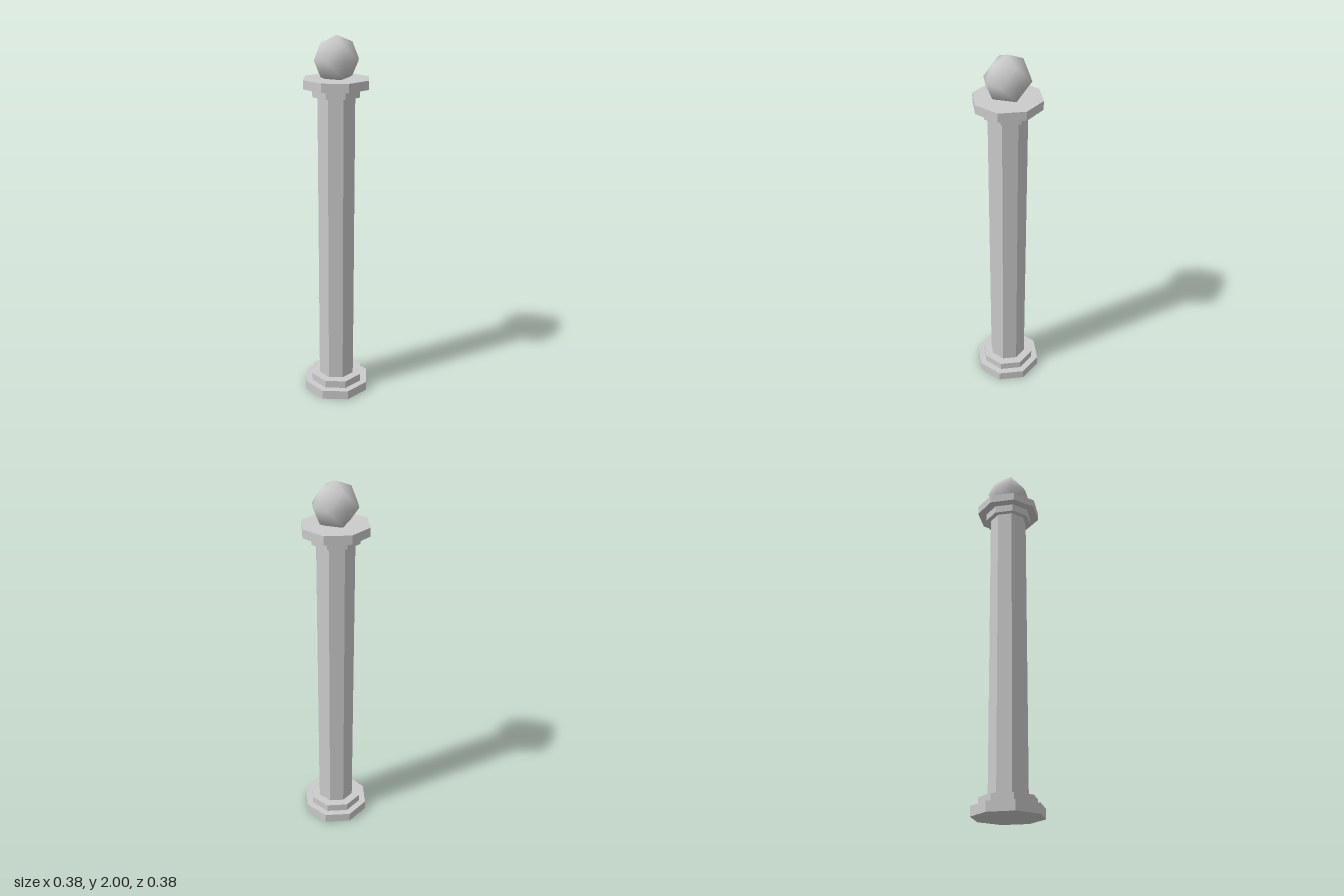
import * as THREE from 'three';

export function createModel() {
  const group = new THREE.Group();
  group.name = 'column';
  const flat = new THREE.MeshStandardMaterial({ color: 0xcccccc, flatShading: true });
  const smooth = new THREE.MeshStandardMaterial({ color: 0xcccccc });

  // Stacked octagonal drums: name, radius, bottom, top
  const drums = [
    ['basePlinth', 0.188, 0, 0.052],
    ['baseStep', 0.15, 0.052, 0.095],
    ['shaft', 0.103, 0.095, 1.698],
    ['capitalStep', 0.13, 1.698, 1.74],
    ['capitalSlab', 0.178, 1.74, 1.786],
  ];
  for (const [name, radius, bottom, top] of drums) {
    const drum = new THREE.Mesh(new THREE.CylinderGeometry(radius, radius, top - bottom, 8), flat);
    drum.name = name;
    drum.position.y = (bottom + top) / 2;
    group.add(drum);
  }

  // Smooth-shaded low-poly ball, sunk slightly into the slab
  const ball = new THREE.Mesh(new THREE.OctahedronGeometry(0.12, 1), smooth);
  ball.name = 'finialBall';
  ball.position.y = 1.88;
  group.add(ball);

  return group;
}
